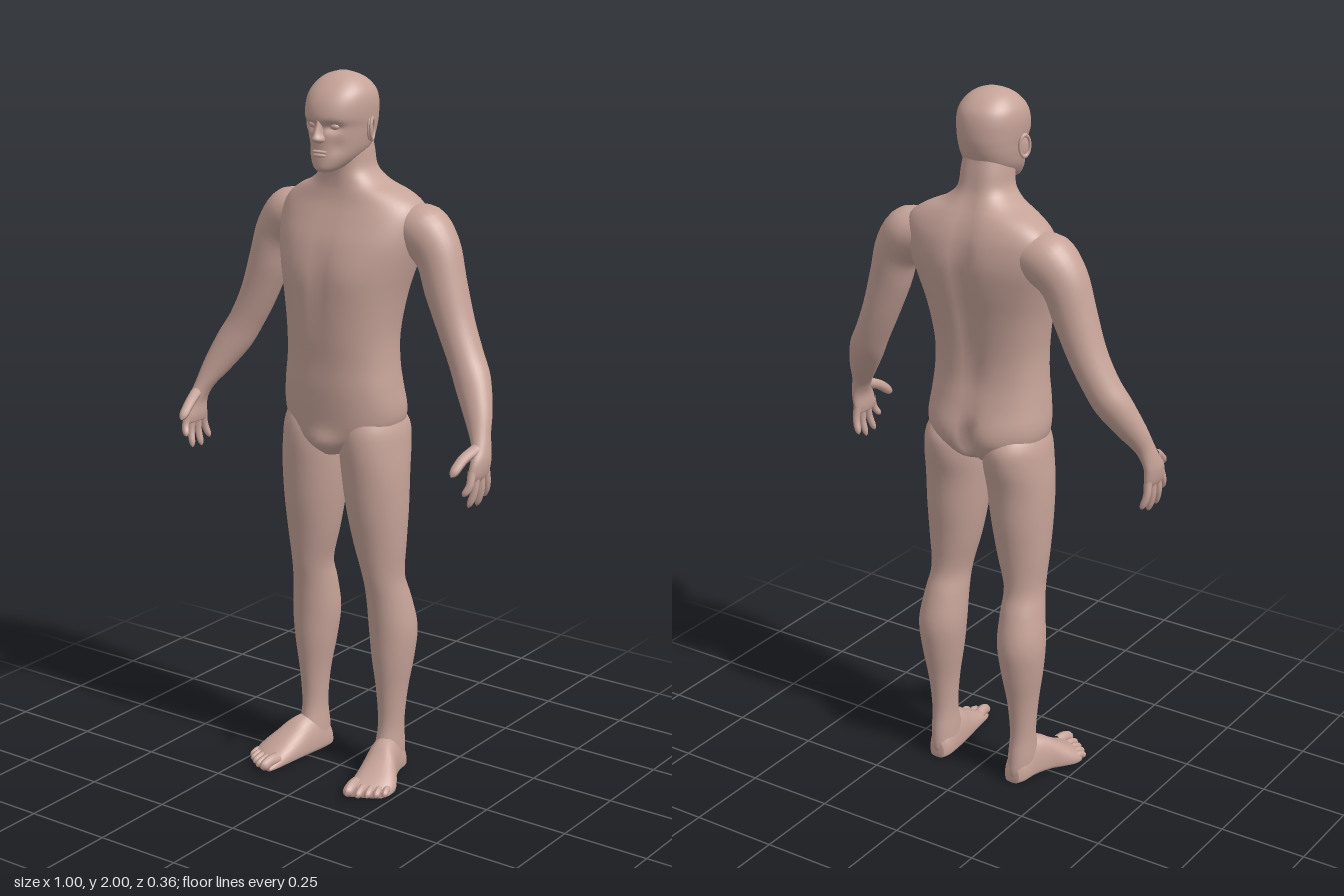
import * as THREE from 'three';

const skin = new THREE.MeshStandardMaterial({ color: 0xc6a398 });
skin.name = 'skin';

const pw = (v, p) => Math.sign(v) * Math.abs(v) ** p;
const bump = (dx, dy, sx, sy) => Math.exp(-((dx / sx) ** 2) - (dy / sy) ** 2);

// Smooth closed skin through cross-sections; place(row, angle) gives a point on a ring.
function loft(name, rows, place, n = 32, sub = 4) {
  const rings = [];
  const at = i => rows[Math.max(0, Math.min(rows.length - 1, i))];
  for (let i = 0; i < rows.length - 1; i++) {
    for (let k = 0; k < sub; k++) {
      const t = k / sub;
      rings.push(rows[i].map((b, c) => {
        const a = at(i - 1)[c], d = at(i + 1)[c], e = at(i + 2)[c];
        return b + 0.5 * t * (d - a + t * (2 * a - 5 * b + 4 * d - e + t * (3 * (b - d) + e - a)));
      }));
    }
  }
  rings.push(rows[rows.length - 1]);
  const pts = [], index = [];
  for (const r of rings) for (let j = 0; j < n; j++) pts.push(place(r, j / n * Math.PI * 2));
  for (let i = 0; i < rings.length - 1; i++) {
    for (let j = 0; j < n; j++) {
      const a = i * n + j, b = i * n + (j + 1) % n;
      index.push(a, a + n, b, b, a + n, b + n);
    }
  }
  // End caps
  for (const [start, last] of [[0, false], [(rings.length - 1) * n, true]]) {
    const c = new THREE.Vector3();
    for (let j = 0; j < n; j++) c.addScaledVector(pts[start + j], 1 / n);
    const id = pts.push(c) - 1;
    for (let j = 0; j < n; j++) {
      const a = start + j, b = start + (j + 1) % n;
      if (last) index.push(a, id, b); else index.push(a, b, id);
    }
  }
  // Turn the faces outward
  let volume = 0;
  const cross = new THREE.Vector3();
  for (let i = 0; i < index.length; i += 3) {
    volume += pts[index[i]].dot(cross.crossVectors(pts[index[i + 1]], pts[index[i + 2]]));
  }
  if (volume < 0) index.reverse();
  const g = new THREE.BufferGeometry().setFromPoints(pts);
  g.setIndex(index);
  g.computeVertexNormals();
  return mesh(name, g);
}

function mesh(name, geometry) {
  const m = new THREE.Mesh(geometry, skin);
  m.name = name;
  return m;
}

function ball(name, [x, y, z], [a, b, c]) {
  const m = mesh(name, new THREE.SphereGeometry(1, 20, 14));
  m.position.set(x, y, z);
  m.scale.set(a, b, c);
  return m;
}

// Tapered finger or toe with a round tip
function digit(name, points, r) {
  const curve = new THREE.CatmullRomCurve3(points.map(p => new THREE.Vector3(...p)));
  const seg = 14, rad = 10;
  const g = new THREE.TubeGeometry(curve, seg, r, rad);
  const pos = g.attributes.position, p = new THREE.Vector3();
  for (let i = 0; i <= seg; i++) {
    const t = i / seg, c = curve.getPointAt(t);
    const k = (1 - 0.2 * t) * (t > 0.75 ? Math.sqrt(Math.max(0, 1 - ((t - 0.75) / 0.25) ** 2)) : 1);
    for (let j = 0; j <= rad; j++) {
      const id = i * (rad + 1) + j;
      p.fromBufferAttribute(pos, id).sub(c).multiplyScalar(k).add(c);
      pos.setXYZ(id, p.x, p.y, p.z);
    }
  }
  g.computeVertexNormals();
  return mesh(name, g);
}

// Horizontal ring: [y, half width, front, back, z of widest point]
function bodyRing([y, w, f, b, m], a, p) {
  const c = Math.cos(a), s = Math.sin(a);
  return new THREE.Vector3(w * pw(c, p), y, m + pw(s, p) * (s > 0 ? f - m : m - b));
}

function torso() {
  const rows = [
    [0.955, 0.03, 0.06, -0.05, 0], [0.985, 0.09, 0.088, -0.12, -0.02], [1.03, 0.16, 0.092, -0.15, -0.03],
    [1.08, 0.178, 0.096, -0.155, -0.03], [1.15, 0.172, 0.1, -0.143, -0.02], [1.22, 0.164, 0.1, -0.132, -0.02],
    [1.3, 0.163, 0.105, -0.136, -0.02], [1.4, 0.177, 0.108, -0.155, -0.03], [1.48, 0.197, 0.102, -0.174, -0.045],
    [1.55, 0.215, 0.088, -0.184, -0.065], [1.61, 0.22, 0.062, -0.178, -0.08], [1.65, 0.205, 0.044, -0.165, -0.085],
    [1.68, 0.165, 0.036, -0.15, -0.08], [1.705, 0.11, 0.033, -0.136, -0.06], [1.74, 0.073, 0.034, -0.12, -0.045],
    [1.79, 0.066, 0.042, -0.11, -0.04], [1.84, 0.06, 0.04, -0.1, -0.03]];
  return loft('torso', rows, (r, a) => {
    const v = bodyRing(r, a, 0.87), ax = Math.abs(v.x), s = Math.sin(a);
    if (s < 0) {
      // Spine groove, buttocks and cleft
      v.z += -s * (0.022 * bump(ax, v.y - 1.45, 0.03, 0.24) + 0.04 * bump(ax, v.y - 1.03, 0.018, 0.06)
        - 0.01 * bump(ax - 0.08, v.y - 1.06, 0.06, 0.06));
    } else {
      // Chest, breastbone and groin
      v.z += s * (0.008 * bump(ax - 0.09, v.y - 1.47, 0.06, 0.06) - 0.006 * bump(ax, v.y - 1.45, 0.015, 0.15)
        + 0.012 * bump(ax, v.y - 1, 0.04, 0.03));
    }
    return v;
  }, 56);
}

function head() {
  const g = new THREE.Group();
  g.name = 'head';
  const rows = [
    [1.742, 0.02, 0.088, 0.045, 0.065], [1.752, 0.036, 0.097, 0, 0.045], [1.775, 0.056, 0.098, -0.045, 0.015],
    [1.8, 0.07, 0.096, -0.088, -0.01], [1.83, 0.078, 0.095, -0.106, -0.02], [1.86, 0.083, 0.094, -0.115, -0.02],
    [1.885, 0.087, 0.102, -0.118, -0.015], [1.92, 0.089, 0.095, -0.116, -0.015], [1.95, 0.083, 0.077, -0.106, -0.015],
    [1.975, 0.065, 0.05, -0.082, -0.015], [1.99, 0.043, 0.024, -0.055, -0.015], [1.999, 0.014, -0.003, -0.028, -0.015]];
  g.add(loft('skull', rows, (r, a) => {
    const v = bodyRing(r, a, 0.92);
    // Eye sockets and hollows beside the mouth
    if (Math.sin(a) > 0) {
      v.z -= 0.016 * bump(Math.abs(v.x) - 0.034, v.y - 1.862, 0.018, 0.012)
        + 0.006 * bump(Math.abs(v.x) - 0.045, v.y - 1.81, 0.015, 0.02);
    }
    return v;
  }, 56, 5));
  const nose = [[1.885, 0.007, 0.1, 0.08, 0.085], [1.865, 0.009, 0.106, 0.075, 0.085], [1.845, 0.012, 0.115, 0.075, 0.085],
    [1.833, 0.018, 0.121, 0.075, 0.088], [1.825, 0.017, 0.115, 0.075, 0.088], [1.82, 0.007, 0.102, 0.08, 0.088]];
  g.add(loft('nose', nose, (r, a) => bodyRing(r, a, 1), 20, 3));
  g.add(ball('upperLip', [0, 1.797, 0.092], [0.024, 0.005, 0.011]));
  g.add(ball('lowerLip', [0, 1.787, 0.092], [0.021, 0.006, 0.01]));
  for (const s of [1, -1]) {
    g.add(ball('eye', [s * 0.034, 1.864, 0.072], [0.014, 0.009, 0.01]));
    const ear = ball('ear', [s * 0.091, 1.852, -0.008], [0.007, 0.03, 0.017]);
    const rim = mesh('earRim', new THREE.TorusGeometry(0.021, 0.0045, 8, 24));
    rim.position.set(s * 0.097, 1.853, -0.011);
    rim.scale.set(0.8, 1.35, 1);
    ear.rotation.y = s * 0.35;
    rim.rotation.y = s * (Math.PI / 2 + 0.35);
    g.add(ear, rim);
  }
  return g;
}

function arm(s) {
  const g = new THREE.Group();
  g.name = s > 0 ? 'leftArm' : 'rightArm';
  // [x, y, z, thickness, depth, tilt in degrees]
  const rows = [
    [0.13, 1.6, -0.08, 0.05, 0.06, 75], [0.21, 1.585, -0.08, 0.075, 0.075, 58], [0.265, 1.53, -0.078, 0.067, 0.066, 40],
    [0.295, 1.44, -0.073, 0.06, 0.06, 28], [0.332, 1.34, -0.069, 0.052, 0.055, 27], [0.37, 1.26, -0.06, 0.049, 0.052, 27],
    [0.403, 1.2, -0.045, 0.05, 0.05, 26], [0.44, 1.13, -0.015, 0.04, 0.04, 22], [0.463, 1.08, 0.01, 0.028, 0.032, 14],
    [0.475, 1.05, 0.022, 0.023, 0.034, 8], [0.482, 1.02, 0.034, 0.02, 0.042, 0], [0.48, 0.985, 0.041, 0.017, 0.046, -5],
    [0.477, 0.965, 0.043, 0.01, 0.04, -8]];
  g.add(loft('armAndPalm', rows, ([x, y, z, u, v, d], a) => {
    const t = d * Math.PI / 180, k = u * Math.cos(a);
    return new THREE.Vector3(s * (x + k * Math.cos(t)), y + k * Math.sin(t), z + v * Math.sin(a));
  }));
  // Base z, tip z and tip y of each finger
  for (const [z0, z1, y1] of [[0.074, 0.1, 0.932], [0.053, 0.072, 0.893], [0.03, 0.031, 0.888], [0.008, -0.006, 0.905]]) {
    g.add(digit('finger', [[s * 0.48, 0.995, z0], [s * 0.481, (0.985 + y1) / 2, (z0 + z1) / 2], [s * 0.468, y1, z1]], 0.0115));
  }
  g.add(digit('thumb', [[s * 0.474, 1.05, 0.045], [s * 0.462, 1.03, 0.09], [s * 0.455, 0.992, 0.138]], 0.016));
  return g;
}

function leg(s) {
  const g = new THREE.Group();
  g.name = s > 0 ? 'leftLeg' : 'rightLeg';
  // [y, inner x, outer x, front, back]
  const rows = [
    [1.1, 0.05, 0.15, 0.05, -0.1], [1.04, 0.015, 0.178, 0.078, -0.148], [0.98, 0.006, 0.187, 0.083, -0.15],
    [0.9, 0.01, 0.193, 0.075, -0.131], [0.8, 0.022, 0.192, 0.063, -0.122], [0.7, 0.04, 0.187, 0.045, -0.11],
    [0.6, 0.066, 0.179, 0.027, -0.104], [0.53, 0.067, 0.188, 0.012, -0.126], [0.44, 0.066, 0.2, 0.002, -0.146],
    [0.35, 0.076, 0.193, -0.004, -0.136], [0.25, 0.092, 0.178, -0.015, -0.116], [0.15, 0.1, 0.169, -0.02, -0.107],
    [0.08, 0.096, 0.17, -0.005, -0.115], [0.03, 0.096, 0.167, 0, -0.118], [0.004, 0.105, 0.16, -0.01, -0.108]];
  g.add(loft('legAndHeel', rows, ([y, i, o, f, b], a) => new THREE.Vector3(
    s * ((i + o) / 2 + (o - i) / 2 * Math.cos(a)), y, (f + b) / 2 + (f - b) / 2 * Math.sin(a))));
  // Foot: [z, centre x, half width, height]
  const foot = [
    [-0.115, 0.13, 0.022, 0.05], [-0.095, 0.131, 0.035, 0.08], [-0.05, 0.135, 0.042, 0.115], [0, 0.148, 0.05, 0.11],
    [0.04, 0.163, 0.057, 0.083], [0.08, 0.176, 0.061, 0.057], [0.115, 0.181, 0.058, 0.036], [0.138, 0.181, 0.048, 0.02]];
  g.add(loft('foot', foot, ([z, x, w, h], a) => {
    const dx = w * pw(Math.cos(a), 0.85), q = Math.sin(a);
    return new THREE.Vector3(s * (x + dx), q < 0 ? 0.3 * h * (1 - pw(-q, 0.5)) : h * (0.3 + 0.7 * q),
      z - dx * 0.45 * Math.max(0, z / 0.12));
  }));
  // Toes, big to small: base x, base z, tip x, tip z, radius
  for (const [x0, z0, x1, z1, r] of [[0.139, 0.115, 0.149, 0.18, 0.018], [0.167, 0.11, 0.176, 0.167, 0.013],
    [0.188, 0.1, 0.198, 0.152, 0.0125], [0.206, 0.088, 0.218, 0.136, 0.012], [0.222, 0.075, 0.234, 0.118, 0.0115]]) {
    g.add(digit('toe', [[s * x0, r + 0.008, z0], [s * (x0 + x1) / 2, r + 0.009, (z0 + z1) / 2], [s * x1, r * 0.8, z1]], r));
  }
  return g;
}

export function createModel() {
  const model = new THREE.Group();
  model.name = 'standingFigure';
  model.add(torso(), head());
  for (const s of [1, -1]) model.add(arm(s), leg(s));
  return model;
}
